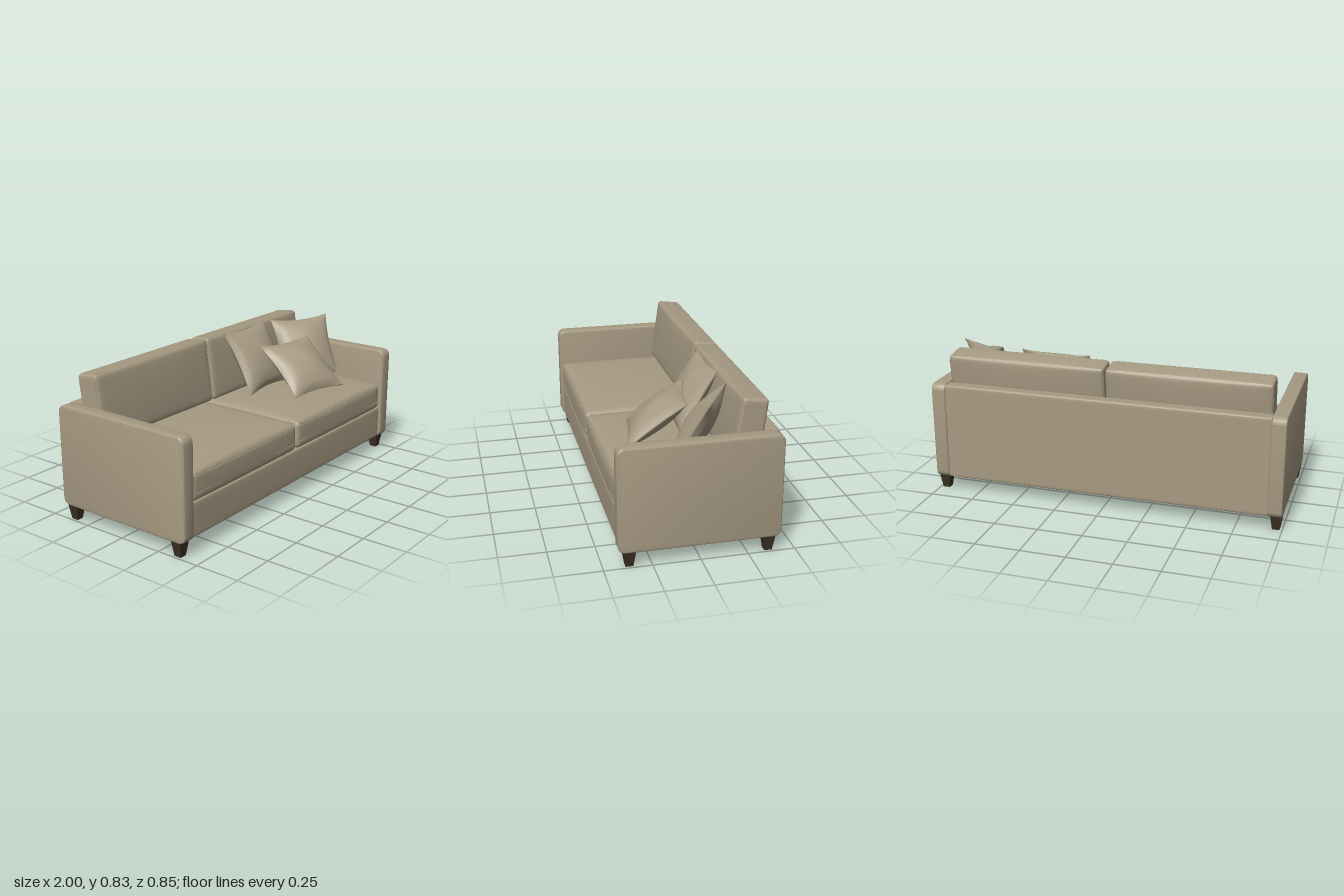
import * as THREE from 'three';
import { mergeVertices, toCreasedNormals } from 'three/addons/utils/BufferGeometryUtils.js';

const fabric = new THREE.MeshStandardMaterial({ color: 0xa69a82 });
fabric.name = 'beigeFabric';
const wood = new THREE.MeshStandardMaterial({ color: 0x3b3023 });
wood.name = 'darkWood';

function add(parent, name, geometry, material, x = 0, y = 0, z = 0) {
  const mesh = new THREE.Mesh(geometry, material);
  mesh.name = name;
  mesh.position.set(x, y, z);
  parent.add(mesh);
  return mesh;
}

// Box with rounded edges whose faces swell by the given amounts in x, y and z
function softBox(w, h, d, r, swell = [0, 0, 0], n = 18) {
  const geo = new THREE.BoxGeometry(2, 2, 2, n, n, n);
  geo.deleteAttribute('uv');
  geo.deleteAttribute('normal');
  const half = new THREE.Vector3(w / 2, h / 2, d / 2);
  const core = half.clone().subScalar(r);
  const pos = geo.attributes.position;
  const p = new THREE.Vector3(), q = new THREE.Vector3();
  const ease = (u) => Math.sign(u) * (1 - (1 - Math.abs(u)) ** 2.2);
  for (let i = 0; i < pos.count; i++) {
    p.fromBufferAttribute(pos, i);
    p.set(ease(p.x), ease(p.y), ease(p.z));
    const fx = 1 - p.x ** 2, fy = 1 - p.y ** 2, fz = 1 - p.z ** 2;
    const puff = [p.x * fy * fz * swell[0], p.y * fx ** 0.6 * fz ** 0.6 * swell[1], p.z * fx ** 0.6 * fy ** 0.6 * swell[2]];
    p.multiply(half);
    q.copy(p).clamp(core.clone().negate(), core);
    p.sub(q);
    if (p.lengthSq() > 0) p.setLength(r);
    p.add(q);
    pos.setXYZ(i, p.x + puff[0], p.y + puff[1], p.z + puff[2]);
  }
  const merged = mergeVertices(geo, 1e-5);
  merged.computeVertexNormals();
  return merged;
}

function roundedRect(w, h, r) {
  const s = new THREE.Shape(), a = w / 2, b = h / 2;
  s.moveTo(-a + r, -b);
  s.lineTo(a - r, -b).absarc(a - r, -b + r, r, -Math.PI / 2, 0);
  s.lineTo(a, b - r).absarc(a - r, b - r, r, 0, Math.PI / 2);
  s.lineTo(-a + r, b).absarc(-a + r, b - r, r, Math.PI / 2, Math.PI);
  s.lineTo(-a, -b + r).absarc(-a + r, -b + r, r, Math.PI, Math.PI * 1.5);
  return s;
}

// Corded seam running around a rounded rectangle in the xy plane
function piping(w, h, r) {
  const points = roundedRect(w, h, r).getSpacedPoints(80).map((p) => new THREE.Vector3(p.x, p.y, 0));
  points.pop();
  return new THREE.TubeGeometry(new THREE.CatmullRomCurve3(points, true), 120, 0.004, 6, true);
}

// Throw pillow: pinched sides, pointed corners and a swollen middle
function pillowGeometry(size, thickness) {
  const geo = new THREE.BoxGeometry(2, 2, 2, 20, 20, 1);
  const pos = geo.attributes.position;
  for (let i = 0; i < pos.count; i++) {
    const s = pos.getX(i), t = pos.getY(i), side = pos.getZ(i);
    const fs = 1 - s * s, ft = 1 - t * t;
    const x = s * (1 - 0.1 * ft) * size / 2;
    const y = t * (1 - 0.1 * fs) * size / 2;
    const wrinkle = 0.004 * Math.sin(5 * s + 2 * t) * fs * ft;
    pos.setXYZ(i, x, y, side * (0.003 + (thickness / 2) * (fs * ft) ** 0.6) + wrinkle);
  }
  geo.computeVertexNormals();
  return geo;
}

// Places a pillow by its centre, its sideways direction and its upward direction
function addPillow(parent, name, size, thickness, centre, across, up) {
  const mesh = add(parent, name, pillowGeometry(size, thickness), fabric, ...centre);
  const u = new THREE.Vector3(...across).normalize();
  const w = u.clone().cross(new THREE.Vector3(...up)).normalize();
  const v = w.clone().cross(u);
  mesh.quaternion.setFromRotationMatrix(new THREE.Matrix4().makeBasis(u, v, w));
}

export function createModel() {
  const sofa = new THREE.Group();
  sofa.name = 'sofa';

  // Frame
  add(sofa, 'baseRail', softBox(1.85, 0.195, 0.81, 0.012, [0, 0, 0.004]), fabric, 0, 0.183, 0.005);
  add(sofa, 'backPanel', softBox(1.85, 0.555, 0.075, 0.012), fabric, 0, 0.364, -0.382);

  // Arms and legs
  const bevel = 0.008;
  const armGeo = toCreasedNormals(new THREE.ExtrudeGeometry(roundedRect(0.85 - 2 * bevel, 0.565 - 2 * bevel, 0.032), {
    depth: 0.08 - 2 * bevel, bevelSize: bevel, bevelThickness: bevel, bevelSegments: 3, curveSegments: 8,
  }).translate(0, 0, -(0.04 - bevel)).rotateY(Math.PI / 2), 0.6);
  const legGeo = new THREE.CylinderGeometry(0.033 * Math.SQRT2, 0.02 * Math.SQRT2, 0.09, 4).rotateY(Math.PI / 4).toNonIndexed();
  legGeo.computeVertexNormals();
  for (const side of [-1, 1]) {
    const label = side > 0 ? 'left' : 'right';
    add(sofa, label + 'Arm', armGeo, fabric, side * 0.96, 0.3625, 0);
    add(sofa, label + 'FrontLeg', legGeo, wood, side * 0.966, 0.045, 0.366);
    add(sofa, label + 'BackLeg', legGeo, wood, side * 0.966, 0.045, -0.361);

    // Seat cushion with two corded seams
    const seat = new THREE.Group();
    seat.name = label + 'SeatCushion';
    seat.position.set(side * 0.461, 0.355, 0.045);
    sofa.add(seat);
    add(seat, 'seatPad', softBox(0.912, 0.16, 0.735, 0.03, [0, 0.03, 0.006]), fabric);
    for (const y of [-0.035, 0.068]) {
      const inset = y > 0 ? 0.012 : 0;
      add(seat, 'seatPiping', piping(0.912 - inset, 0.737 - inset, 0.03).rotateX(Math.PI / 2), fabric, 0, y, 0);
    }

    // Leaning back cushion with seams front and rear
    const back = new THREE.Group();
    back.name = label + 'BackCushion';
    back.position.set(side * 0.459, 0.627, -0.272);
    back.rotation.x = -0.13;
    sofa.add(back);
    add(back, 'backPad', softBox(0.908, 0.365, 0.135, 0.018, [0, 0.003, 0.014]), fabric);
    for (const z of [-0.055, 0.055]) add(back, 'backPiping', piping(0.902, 0.359, 0.018), fabric, 0, 0, z);
  }

  // Throw pillows
  addPillow(sofa, 'rearPillow', 0.4, 0.13, [0.33, 0.652, -0.11], [0.39, 0.005, 0], [-0.01, 0.35, -0.2]);
  addPillow(sofa, 'frontPillow', 0.4, 0.13, [0.477, 0.602, 0.115], [0.38, 0, 0.08], [0.075, 0.25, -0.31]);
  addPillow(sofa, 'sidePillow', 0.39, 0.13, [0.752, 0.637, -0.045], [0.34, 0.005, 0.19], [0.09, 0.34, -0.17]);
  return sofa;
}
